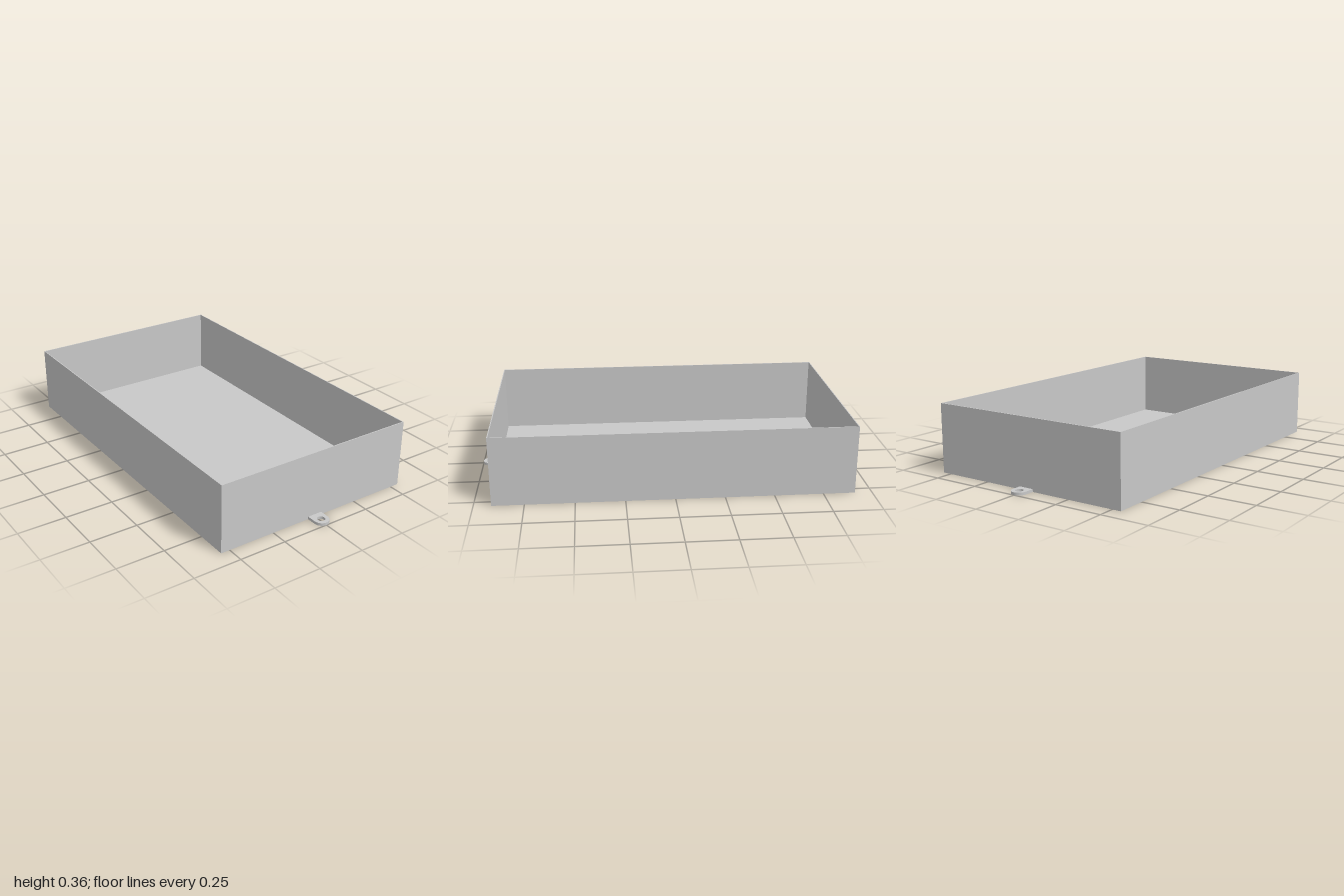
import * as THREE from 'three';

const W = 0.547, D = 0.912, H = 0.358; // half width, half depth, height of the tray
const WALL = 0.005, FLOOR = 0.005;
const TAB_R = 0.04, TAB_T = 0.014, HOLE_R = 0.02;

// Extrudes a shape drawn in the ground plane upwards from y = 0
function extrudeUp(shape, height, curveSegments = 12) {
  const geo = new THREE.ExtrudeGeometry(shape, { depth: height, bevelEnabled: false, curveSegments });
  return geo.rotateX(-Math.PI / 2);
}

function rectPoints(w, d) {
  return [[-w, -d], [w, -d], [w, d], [-w, d]].map(([x, y]) => new THREE.Vector2(x, y));
}

export function createModel() {
  const grey = new THREE.MeshStandardMaterial({ color: 0xc8c8c8 });
  grey.name = 'light grey';
  const model = new THREE.Group();
  model.name = 'openTray';

  const add = (name, geo) => {
    const mesh = new THREE.Mesh(geo, grey);
    mesh.name = name;
    model.add(mesh);
    return mesh;
  };

  // Four thin walls as one rectangular ring
  const ring = new THREE.Shape(rectPoints(W, D));
  ring.holes.push(new THREE.Path(rectPoints(W - WALL, D - WALL)));
  add('walls', extrudeUp(ring, H));

  // Floor panel inside the walls
  const floor = new THREE.BoxGeometry(2 * (W - WALL), FLOOR, 2 * (D - WALL));
  add('floor', floor.translate(0, FLOOR / 2, 0));

  // Round-ended mounting tab with a screw hole, one at each end
  const centre = 1 - TAB_R;
  const tab = new THREE.Shape();
  tab.moveTo(-TAB_R, D);
  tab.lineTo(TAB_R, D);
  tab.lineTo(TAB_R, centre);
  tab.absarc(0, centre, TAB_R, 0, Math.PI, false);
  tab.closePath();
  const hole = new THREE.Path();
  hole.absarc(0, centre, HOLE_R, 0, Math.PI * 2, true);
  tab.holes.push(hole);
  const tabGeo = extrudeUp(tab, TAB_T, 16);
  add('backTab', tabGeo);
  add('frontTab', tabGeo).rotation.y = Math.PI;

  return model;
}
